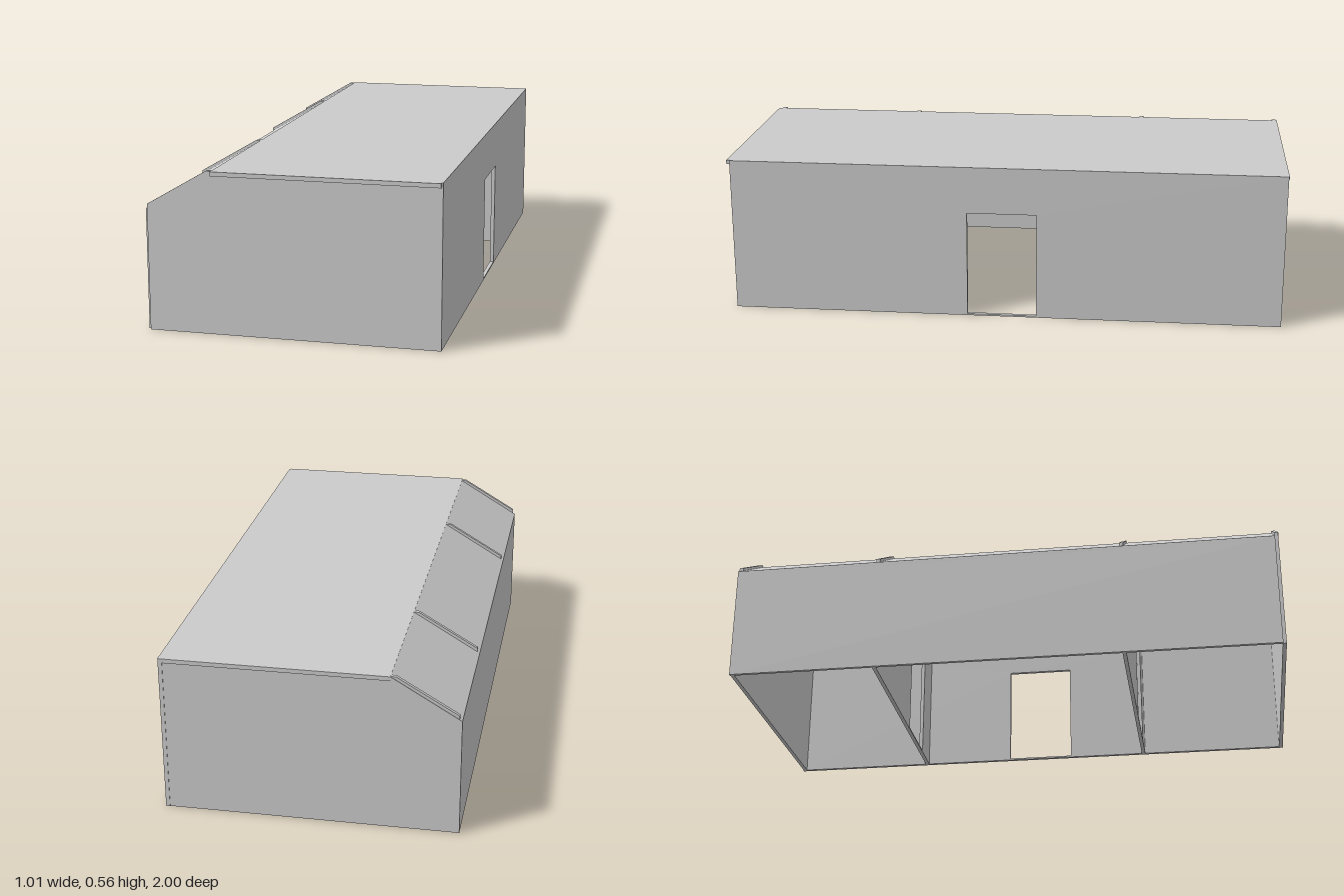
import * as THREE from 'three';

const T = 0.014;      // wall thickness
const SILL = 0.006;   // strip left under each doorway
const DOOR_H = 0.39;

const material = new THREE.MeshStandardMaterial({ color: 0xcccccc, flatShading: true });

function shapeFrom(points) {
  return new THREE.Shape(points.map(([x, y]) => new THREE.Vector2(x, y)));
}

// Doorway hole that leaves a thin sill at the ground
function addDoor(shape, from, to) {
  const hole = new THREE.Path();
  hole.moveTo(from, SILL);
  hole.lineTo(from, DOOR_H);
  hole.lineTo(to, DOOR_H);
  hole.lineTo(to, SILL);
  hole.closePath();
  shape.holes.push(hole);
}

function extrude(shape, depth) {
  return new THREE.ExtrudeGeometry(shape, { depth, bevelEnabled: false });
}

export function createModel() {
  const group = new THREE.Group();
  const add = (name, geometry, x = 0, y = 0, z = 0) => {
    const mesh = new THREE.Mesh(geometry, material);
    mesh.name = name;
    mesh.position.set(x, y, z);
    group.add(mesh);
    return mesh;
  };
  const box = (name, x0, x1, y0, y1, z0, z1) =>
    add(name, new THREE.BoxGeometry(x1 - x0, y1 - y0, z1 - z0),
      (x0 + x1) / 2, (y0 + y1) / 2, (z0 + z1) / 2);

  // Cross walls with one sloped top corner: two closed ends, two with doorways
  const crossWalls = [
    ['backWall', -0.996, false],
    ['backPartition', -0.475, true],
    ['frontPartition', 0.42, true],
    ['frontWall', 0.973, false],
  ];
  for (const [name, z, hasDoor] of crossWalls) {
    const profile = shapeFrom([
      [-0.497, 0], [0.5, 0], [0.5, 0.5595], [-0.288, 0.5595], [-0.497, 0.437],
    ]);
    if (hasDoor) addDoor(profile, 0.1, 0.35);
    add(name, extrude(profile, T), 0, 0, z);
  }

  // Tall side wall with the entrance
  const side = shapeFrom([[-0.998, 0], [0.988, 0], [0.988, 0.56], [-0.998, 0.56]]);
  addDoor(side, -0.12, 0.13);
  add('entranceWall', extrude(side, T).rotateY(-Math.PI / 2), 0.505);

  // Low side wall under the slope
  box('lowWall', -0.506, -0.494, 0, 0.419, -0.998, 0.975);

  // Flat roof, overhanging the front a little
  box('flatRoof', -0.27, 0.5, 0.545, 0.56, -1, 1);

  // Sloped roof panel, set slightly below the cross wall edges
  const slope = shapeFrom([
    [-0.506, 0.405], [-0.27, 0.545], [-0.27, 0.559], [-0.506, 0.419],
  ]);
  add('slopedRoof', extrude(slope, 1.973), 0, 0, -0.998);

  return group;
}
